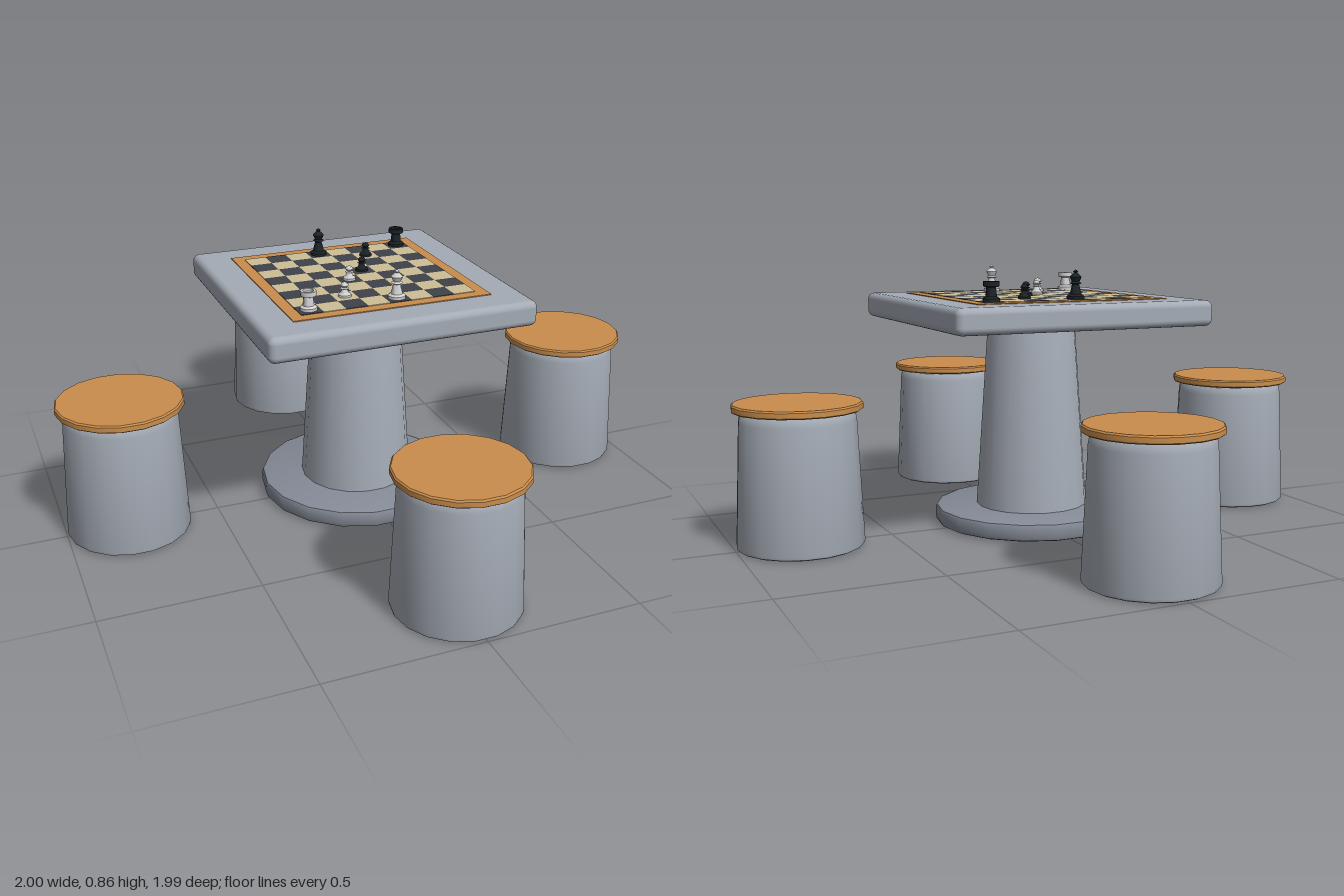
import * as THREE from 'three';
import { mergeGeometries, toCreasedNormals } from 'three/addons/utils/BufferGeometryUtils.js';
import { RoundedBoxGeometry } from 'three/addons/geometries/RoundedBoxGeometry.js';

const material = (name, color) => {
  const m = new THREE.MeshStandardMaterial({ color });
  m.name = name;
  return m;
};

// Turned solid from [radius, height] points, bottom to top
function turned(points, sides) {
  const profile = points.map(([r, y]) => new THREE.Vector2(r, y));
  const geometry = new THREE.LatheGeometry(profile, sides).rotateY(Math.PI / 2);
  return toCreasedNormals(geometry, 0.65);
}

export function createModel() {
  const concrete = material('concrete', 0xa4abb5);
  const baseStone = material('base stone', 0x858b97);
  const wood = material('wood', 0xc98d4c);
  const cream = material('cream square', 0xcfbf98);
  const dark = material('dark square', 0x3f434a);
  const white = material('white piece', 0xcfcfcf);
  const black = material('black piece', 0x1b2226);

  const model = new THREE.Group();
  model.name = 'chessTableWithStools';
  const add = (parent, name, geometry, mat, x = 0, y = 0, z = 0) => {
    const mesh = new THREE.Mesh(geometry, mat);
    mesh.name = name;
    mesh.position.set(x, y, z);
    parent.add(mesh);
    return mesh;
  };

  // Table: foot, tapered pedestal and slab
  const table = new THREE.Group();
  table.name = 'table';
  model.add(table);
  add(table, 'tableFoot', turned([
    [0, 0.003], [0.312, 0.003], [0.322, 0.007], [0.326, 0.016],
    [0.326, 0.048], [0.322, 0.058], [0.312, 0.062], [0, 0.062],
  ], 18), baseStone);
  add(table, 'pedestal', turned([
    [0, 0.001], [0.182, 0.001], [0.19, 0.012], [0.147, 0.655],
    [0.144, 0.668], [0.135, 0.678], [0, 0.682],
  ], 18), concrete);
  add(table, 'tableTop', new RoundedBoxGeometry(0.872, 0.082, 0.872, 3, 0.022), concrete, 0, 0.719, 0);

  // Chessboard: wooden border with inlaid squares
  const cell = 0.0722;
  const at = (i) => (i - 3.5) * cell;
  add(table, 'boardBorder', new THREE.BoxGeometry(0.652, 0.004, 0.652), wood, 0, 0.761, 0);
  const squares = [[], []];
  for (let col = 0; col < 8; col++) {
    for (let row = 0; row < 8; row++) {
      squares[(col + row) % 2].push(
        new THREE.BoxGeometry(cell, 0.003, cell).translate(at(col), 0.7635, at(row)));
    }
  }
  add(table, 'lightSquares', mergeGeometries(squares[0]), cream);
  add(table, 'darkSquares', mergeGeometries(squares[1]), dark);

  // Chess pieces
  const shapes = {
    pawn: turned([
      [0, 0], [0.021, 0], [0.021, 0.007], [0.013, 0.012], [0.008, 0.024],
      [0.014, 0.026], [0.008, 0.029], [0.013, 0.036], [0.009, 0.043], [0, 0.047],
    ], 12),
    rook: turned([
      [0, 0], [0.027, 0], [0.027, 0.009], [0.018, 0.015], [0.015, 0.042],
      [0.025, 0.046], [0.025, 0.061], [0.017, 0.061], [0.017, 0.053], [0, 0.053],
    ], 12),
    king: turned([
      [0, 0], [0.028, 0], [0.028, 0.009], [0.019, 0.015], [0.011, 0.045],
      [0.019, 0.049], [0.012, 0.054], [0.019, 0.069], [0.009, 0.079],
      [0.005, 0.081], [0.008, 0.086], [0, 0.092],
    ], 12),
  };
  const pieces = [
    ['king', 3, 0, black], ['rook', 7, 0, black], ['pawn', 5, 1, black], ['pawn', 4, 3, black],
    ['pawn', 3, 4, white], ['pawn', 2, 6, white], ['rook', 0, 7, white], ['king', 4, 7, white],
  ];
  for (const [kind, col, row, mat] of pieces) {
    add(table, `${mat === white ? 'white' : 'black'}_${kind}`, shapes[kind], mat, at(col), 0.765, at(row));
  }

  // Four stools around the table
  const stoolBody = turned([
    [0, 0], [0.19, 0.001], [0.198, 0.005], [0.2, 0.014], [0.182, 0.4],
    [0.179, 0.416], [0.173, 0.426], [0.16, 0.431], [0, 0.431],
  ], 18);
  const stoolSeat = turned([
    [0, 0.43], [0.197, 0.43], [0.2025, 0.434], [0.2025, 0.45], [0.198, 0.455], [0, 0.455],
  ], 18);
  const stools = [['left', 1, 0], ['right', -1, 0], ['front', 0, 1], ['back', 0, -1]];
  for (const [side, x, z] of stools) {
    const stool = new THREE.Group();
    stool.name = `${side}Stool`;
    stool.position.set(x * 0.7975, 0, z * 0.7975);
    add(stool, 'stoolBody', stoolBody, concrete);
    add(stool, 'stoolSeat', stoolSeat, wood);
    model.add(stool);
  }
  return model;
}
